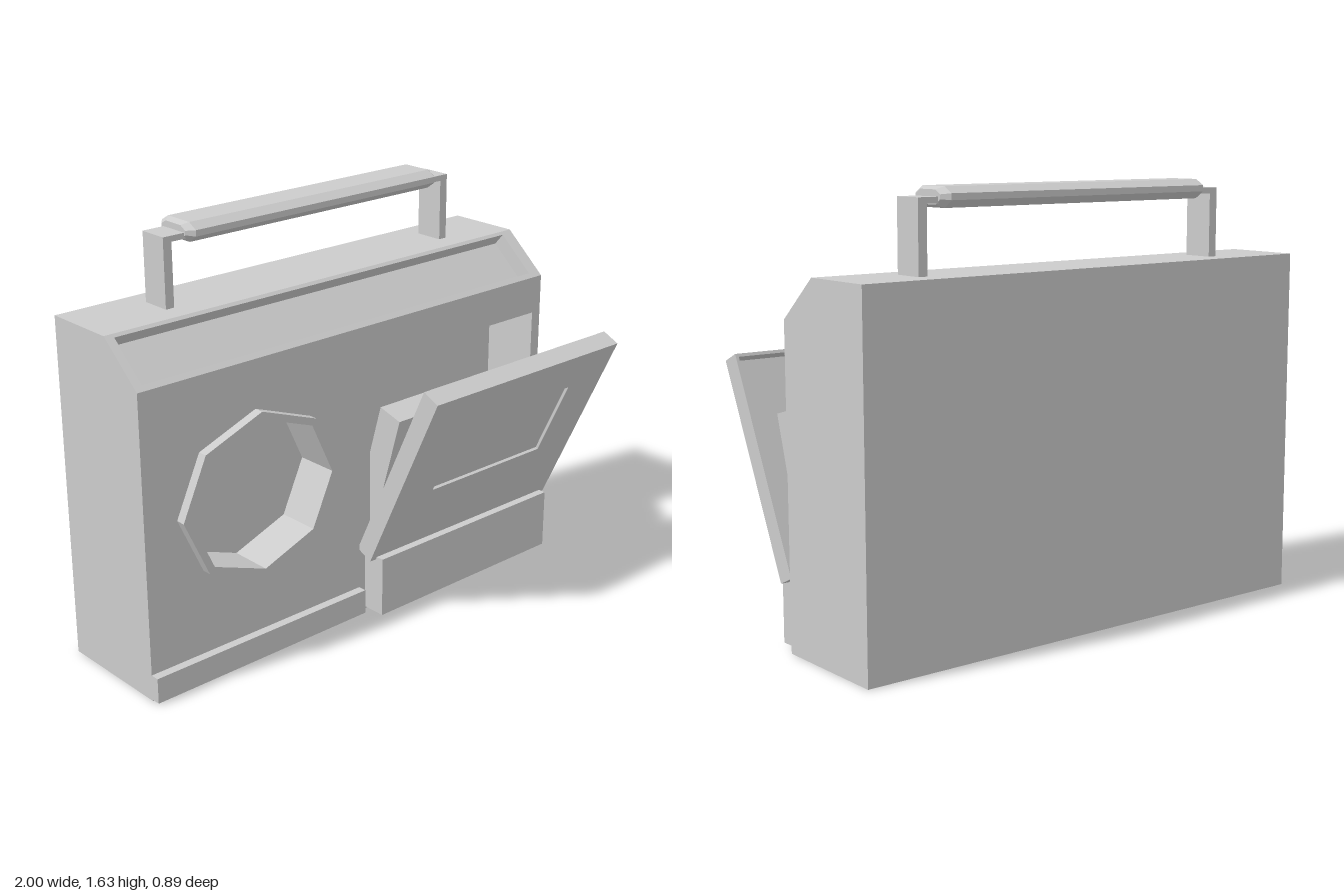
import * as THREE from 'three';

const material = new THREE.MeshStandardMaterial({ color: 0xcccccc, flatShading: true });
const smooth = new THREE.MeshStandardMaterial({ color: 0xcccccc });

function add(parent, name, geometry, mat = material) {
  const mesh = new THREE.Mesh(geometry, mat);
  mesh.name = name;
  parent.add(mesh);
  return mesh;
}

// box given by its min and max on each axis
function box(x0, x1, y0, y1, z0, z1) {
  return new THREE.BoxGeometry(x1 - x0, y1 - y0, z1 - z0)
    .translate((x0 + x1) / 2, (y0 + y1) / 2, (z0 + z1) / 2);
}

const toShape = (pts) => new THREE.Shape(pts.map(([a, b]) => new THREE.Vector2(a, b)));
const rect = (x0, x1, y0, y1) => [[x0, y0], [x1, y0], [x1, y1], [x0, y1]];

function octagon(cx, cy, rx, ry) {
  return Array.from({ length: 8 }, (_, i) => {
    const a = (i * Math.PI) / 4;
    return [cx + rx * Math.cos(a), cy + ry * Math.sin(a)];
  });
}

// (x, y) outline with holes, extruded from z0 to z1
function plate(outline, holes, z0, z1) {
  const shape = toShape(outline);
  holes.forEach((h) => shape.holes.push(toShape(h)));
  return new THREE.ExtrudeGeometry(shape, { depth: z1 - z0, bevelEnabled: false }).translate(0, 0, z0);
}

// (z, y) side profile, extruded from x0 to x1
function alongX(profile, x0, x1) {
  return new THREE.ExtrudeGeometry(toShape(profile), { depth: x1 - x0, bevelEnabled: false })
    .rotateY(-Math.PI / 2).translate(x1, 0, 0);
}

function buildBody(group) {
  const back = -0.445, front = 0.035, split = -0.2, seam = 1.06;
  const lower = [[back, 0], [split, 0], [split, seam], [front, seam], [front, 1.18]];
  const upper = [[-0.145, 1.335], [back, 1.335]];
  // sunken dial panel on the sloped top edge
  const recess = [[0.017, 1.195], [-0.022, 1.15], [-0.172, 1.28], [-0.133, 1.325]];
  add(group, 'bodyShell', alongX([...lower, ...recess, ...upper], -0.965, 0.945));
  add(group, 'bodyEndRight', alongX([...lower, ...upper], -1, -0.965));
  add(group, 'bodyEndLeft', alongX([...lower, ...upper], 0.945, 1));

  // front panel with speaker hole and deck bay
  const hole = octagon(-0.5, 0.668, 0.328, 0.295);
  add(group, 'frontPanel', plate(rect(-1, 1, 0, seam),
    [hole, rect(0.055, 0.955, 0.2, 1.03)], split, front));
  add(group, 'speakerFloor', plate(hole, [], split, -0.1));
  add(group, 'speakerRing', plate(octagon(-0.5, 0.668, 0.36, 0.325), [hole], front, 0.073));
  add(group, 'lowerStrip', box(-1, 0, 0.005, 0.105, front, 0.07));
  add(group, 'keyBlock', box(0.03, 0.97, 0.01, 0.252, front, 0.135));
}

function buildDoor(group) {
  const door = new THREE.Group();
  door.name = 'deckDoor';
  door.position.set(0, 0.24, 0.097);
  door.rotation.x = THREE.MathUtils.degToRad(25);
  const h = 0.83, t = 0.077, skin = 0.024, wall = 0.012;
  const window = rect(0.2, 0.8, 0.32, 0.66);
  add(door, 'doorFront', plate(rect(0, 1, 0, h), [window], -skin, 0));
  add(door, 'doorWindow', plate(window, [], -skin, -0.012));
  add(door, 'doorTop', box(0, 1, h - wall, h, -t, -skin));
  add(door, 'doorBottom', box(0, 1, 0, wall, -t, -skin));
  for (const x of [0, 1 - wall]) add(door, 'doorSide', box(x, x + wall, wall, h - wall, -t, -skin));
  group.add(door);
}

function buildCassette(group) {
  const cassette = new THREE.Group();
  cassette.name = 'cassette';
  cassette.position.set(0, 0.2725, 0.02);
  cassette.rotation.x = THREE.MathUtils.degToRad(16);
  const h = 0.58;
  add(cassette, 'cassetteBack', box(0.07, 0.95, 0, h, -0.108, -0.036));
  // front layer notched along its top edge
  add(cassette, 'cassetteFront', plate([[0.07, 0], [0.95, 0], [0.95, h], [0.72, h],
    [0.7, h - 0.12], [0.28, h - 0.12], [0.255, h], [0.07, h]], [], -0.036, 0));
  for (const [x, r, d] of [[0.365, 0.15, 0.04], [0.65, 0.075, 0.03]]) {
    add(cassette, 'reel', new THREE.CylinderGeometry(r, r, d, 32)
      .rotateX(Math.PI / 2).translate(x, 0.23, d / 2), smooth);
  }
  group.add(cassette);
}

// grip lofted through bevelled cross-sections
function gripGeometry() {
  const section = [[0.1, -0.01], [0.1, 0.013], [0.062, 0.035], [-0.062, 0.035],
    [-0.1, 0.013], [-0.1, -0.01], [-0.062, -0.037], [0.062, -0.037]];
  const rings = [[-0.585, 0.7], [-0.56, 1], [0.61, 1], [0.635, 0.7]];
  const pos = [], idx = [], n = section.length;
  for (const [x, s] of rings) {
    for (const [z, y] of section) pos.push(x, 1.596 + y * s, -0.298 + z * s);
  }
  for (let r = 0; r < rings.length - 1; r++) {
    for (let i = 0; i < n; i++) {
      const a = r * n + i, b = r * n + (i + 1) % n;
      idx.push(a, a + n, b, b, a + n, b + n);
    }
  }
  const last = (rings.length - 1) * n;
  for (let i = 1; i < n - 1; i++) {
    idx.push(0, i, i + 1, last, last + i + 1, last + i);
  }
  const g = new THREE.BufferGeometry();
  g.setAttribute('position', new THREE.Float32BufferAttribute(pos, 3));
  g.setIndex(idx);
  const flat = g.toNonIndexed();
  flat.computeVertexNormals();
  return flat;
}

function buildHandle(group) {
  const handle = new THREE.Group();
  handle.name = 'handle';
  const centre = 0.02;
  for (const side of [-1, 1]) {
    const span = (a, b) => [centre + side * a, centre + side * b].sort((p, q) => p - q);
    add(handle, 'handlePost', box(...span(0.66, 0.696), 1.335, 1.597, -0.355, -0.235));
    add(handle, 'handleArm', box(...span(0.58, 0.66), 1.575, 1.597, -0.355, -0.235));
  }
  const grip = add(handle, 'grip', gripGeometry());
  grip.material = new THREE.MeshStandardMaterial({ color: 0xcccccc, flatShading: true, side: THREE.DoubleSide });
  group.add(handle);
}

export function createModel() {
  const group = new THREE.Group();
  group.name = 'cassetteRadio';
  buildBody(group);
  buildDoor(group);
  buildCassette(group);
  buildHandle(group);
  return group;
}
